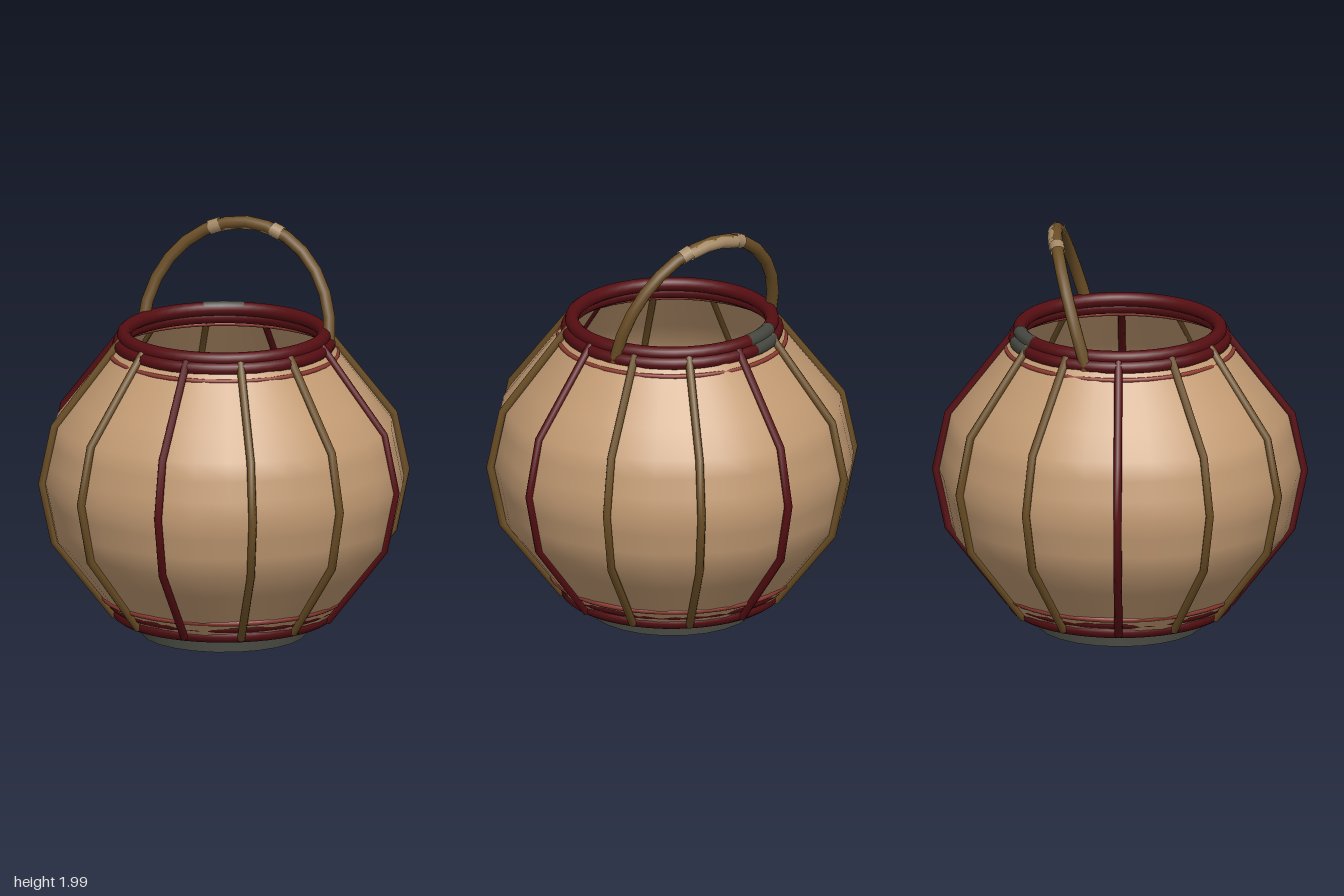
import * as THREE from 'three';
import { mergeVertices } from 'three/addons/utils/BufferGeometryUtils.js';

const mat = (name, color, side = THREE.FrontSide) => {
  const m = new THREE.MeshStandardMaterial({ color, side });
  m.name = name;
  return m;
};

// Rib outline as [radius, height]; the paper follows it slightly inside
const PROFILE = [[0.53, 0.1], [0.825, 0.48], [0.885, 0.77], [0.825, 1.05], [0.53, 1.43]];

// Straight-sided path through a list of points
function polyline(points) {
  const path = new THREE.CurvePath();
  for (let i = 1; i < points.length; i++) path.add(new THREE.LineCurve3(points[i - 1], points[i]));
  return path;
}

// Tube with one ring of vertices at each given point, closed by end discs
function rodGeometry(points, radius, sides = 8) {
  const curve = polyline(points);
  curve.getPointAt = (u, target = new THREE.Vector3()) =>
    target.copy(points[Math.round(u * (points.length - 1))]);
  curve.getTangentAt = (u, target = new THREE.Vector3()) => {
    const i = Math.round(u * (points.length - 1));
    const a = points[Math.max(i - 1, 0)], b = points[Math.min(i + 1, points.length - 1)];
    return target.subVectors(b, a).normalize();
  };
  return new THREE.TubeGeometry(curve, points.length - 1, radius, sides, false);
}

export function createModel() {
  const paper = mat('paper', 0xc49c74, THREE.DoubleSide);
  const red = mat('dark red lacquer', 0x560e12);
  const bandRed = mat('faded red', 0x8e3a30);
  const bamboo = mat('bamboo', 0x6b4e25, THREE.DoubleSide);
  const iron = mat('iron', 0x464840);
  const wrap = mat('grip wrap', 0xa68a66, THREE.DoubleSide);

  const model = new THREE.Group();
  model.name = 'lantern';
  const add = (name, geometry, material, parent = model) => {
    const mesh = new THREE.Mesh(geometry, material);
    mesh.name = name;
    parent.add(mesh);
    return mesh;
  };
  const ring = (name, y, R, r, material, arc = Math.PI * 2, start = 0) => {
    const g = new THREE.TorusGeometry(R, r, 10, 48, arc);
    g.rotateX(-Math.PI / 2);
    g.rotateY(start);
    return add(name, g.translate(0, y, 0), material);
  };

  // Paper body: a lathe with a gentle uneven wobble, open at both ends
  const outline = [];
  for (let i = 1; i < PROFILE.length; i++) {
    const [r0, y0] = PROFILE[i - 1], [r1, y1] = PROFILE[i];
    for (let k = i === 1 ? 0 : 1; k <= 3; k++) {
      const t = k / 3;
      outline.push(new THREE.Vector2(r0 + (r1 - r0) * t - 0.008, y0 + (y1 - y0) * t));
    }
  }
  let body = new THREE.LatheGeometry(outline, 32);
  const pos = body.attributes.position;
  for (let i = 0; i < pos.count; i++) {
    const x = pos.getX(i), y = pos.getY(i), z = pos.getZ(i);
    const a = Math.atan2(z, x);
    const w = 1 + 0.007 * Math.sin(5 * a + 2 * y) + 0.006 * Math.sin(9 * a + 1.3) - 0.005;
    pos.setXYZ(i, x * w, y, z * w);
  }
  body.deleteAttribute('uv');
  body.deleteAttribute('normal');
  body = mergeVertices(body, 1e-4);
  body.computeVertexNormals();
  add('paperBody', body, paper);

  // Ribs: four red, eight bamboo
  const ribs = new THREE.Group();
  ribs.name = 'ribs';
  model.add(ribs);
  const ribPoints = [...PROFILE, [0.5, 1.465]].map(([r, y]) => new THREE.Vector3(r, y, 0));
  const ribGeometry = rodGeometry(ribPoints, 0.02);
  for (let i = 0; i < 12; i++) {
    const main = i % 3 === 0;
    const rib = add(main ? 'redRib' : 'bambooRib', ribGeometry, main ? red : bamboo, ribs);
    rib.rotation.y = i * Math.PI / 6;
  }

  // Rims at the mouth and foot
  ring('mouthRimUpper', 1.478, 0.482, 0.034, red);
  ring('mouthRimLower', 1.435, 0.503, 0.034, red);
  ring('footRimLower', 0.112, 0.508, 0.034, red);
  ring('footRimUpper', 0.16, 0.535, 0.028, red);

  // Faded bands just breaking the paper surface
  ring('mouthBand', 1.385, 0.548, 0.011, bandRed);
  ring('footBand', 0.192, 0.585, 0.014, bandRed);

  // Iron mend on the back of the mouth rim
  ring('rimMendUpper', 1.48, 0.484, 0.035, iron, 0.42, Math.PI / 2 + 0.16);
  ring('rimMendLower', 1.437, 0.506, 0.035, iron, 0.36, Math.PI / 2 + 0.2);

  // Arched handle leaning backwards
  const arch = (t, r = 0) => new THREE.Vector3(
    0.48 * Math.cos(t),
    1.44 + (0.52 + r) * Math.sin(t),
    -0.16 - 0.148 * Math.sin(t));
  const span = (a, b, n, f) => Array.from({ length: n + 1 }, (_, i) => f(a + (b - a) * i / n));
  const handle = new THREE.Group();
  handle.name = 'handle';
  model.add(handle);
  add('handleArch', rodGeometry(span(0, Math.PI, 14, arch), 0.03, 10), bamboo, handle);
  for (const s of [0, 1]) {
    const cap = add('handleEnd', new THREE.CylinderGeometry(0.03, 0.03, 0.03, 10), bamboo, handle);
    cap.position.set(s ? 0.48 : -0.48, 1.432, -0.16);
  }

  // Grip: two full cuffs, with wrapping on the underside and back between them
  const mid = Math.PI / 2;
  for (const s of [-1, 1]) {
    add('gripCuff', rodGeometry(span(mid + s * 0.28, mid + s * 0.4, 1, arch), 0.036, 10), wrap, handle);
  }
  const under = add('gripWrap', rodGeometry(span(mid - 0.3, mid + 0.3, 3, arch), 0.031, 10), wrap, handle);
  under.position.set(0, -0.006, -0.01);

  // Base plate, candle dish and holder
  const disc = (name, r, y0, y1, material) =>
    add(name, new THREE.CylinderGeometry(r, r, y1 - y0, 24).translate(0, (y0 + y1) / 2, 0), material);
  disc('basePlate', 0.4, 0, 0.11, iron);
  disc('candleDish', 0.285, 0.11, 0.15, bamboo);
  disc('candleHolder', 0.125, 0.15, 0.3, iron);

  // Flame: a teardrop blown to one side
  const drop = [[0, -0.065], [0.035, -0.054], [0.058, -0.028], [0.064, 0], [0.055, 0.03], [0, 0.105]];
  const flame = add('flame', new THREE.LatheGeometry(drop.map(p => new THREE.Vector2(...p)), 16), paper);
  flame.rotation.z = -Math.PI / 2;
  flame.position.set(0.02, 0.36, 0);

  return model;
}
